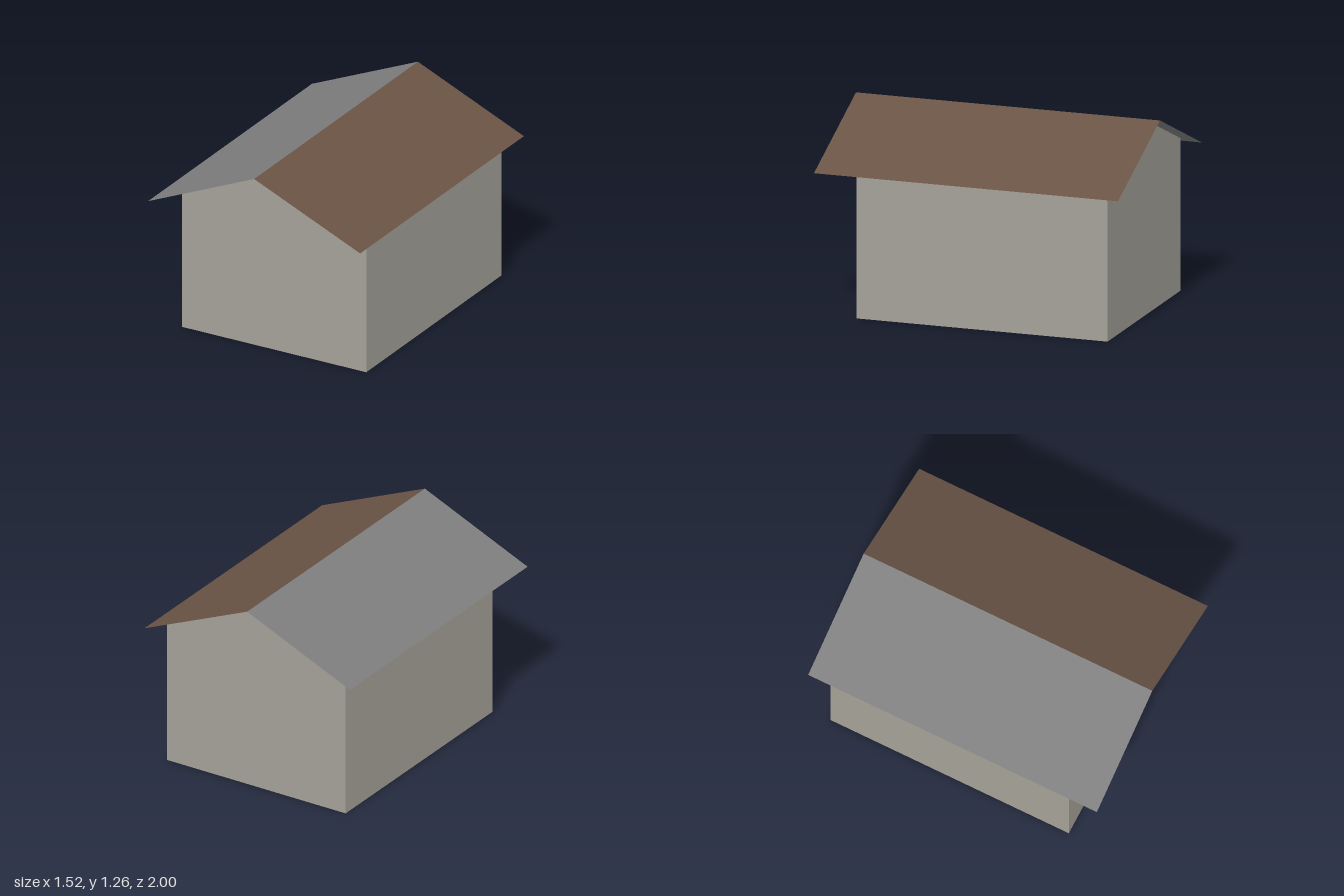
import * as THREE from 'three';

const HALF_W = 0.66, EAVE_X = 0.76, WALL_Y = 0.974, EAVE_Y = 0.931, RIDGE_Y = 1.26;
const BACK = -0.895, FRONT = 0.755, ROOF_Z = 1;

function material(name, color) {
  const m = new THREE.MeshStandardMaterial({ color, side: THREE.DoubleSide });
  m.name = name;
  return m;
}

// Flat quad from four corners, counter-clockwise seen from outside
function quad(name, corners, mat) {
  const g = new THREE.BufferGeometry();
  g.setAttribute('position', new THREE.Float32BufferAttribute(corners.flat(), 3));
  g.setIndex([0, 1, 2, 0, 2, 3]);
  g.computeVertexNormals();
  const mesh = new THREE.Mesh(g, mat);
  mesh.name = name;
  return mesh;
}

export function createModel() {
  const group = new THREE.Group();
  group.name = 'house';
  const plaster = material('warm grey plaster', 0xa4a198);
  const brown = material('brown roofing', 0x6a5445);
  const grey = material('grey roofing', 0x7e7e7e);

  // Gable walls
  const gable = new THREE.ShapeGeometry(new THREE.Shape([
    [-HALF_W, 0], [HALF_W, 0], [HALF_W, WALL_Y], [0, RIDGE_Y], [-HALF_W, WALL_Y],
  ].map(([x, y]) => new THREE.Vector2(x, y))));
  const frontWall = new THREE.Mesh(gable, plaster);
  frontWall.name = 'frontGableWall';
  frontWall.position.z = FRONT;
  const backWall = new THREE.Mesh(gable, plaster);
  backWall.name = 'backGableWall';
  backWall.position.z = BACK;
  backWall.rotation.y = Math.PI;
  group.add(frontWall, backWall);

  // Side walls and roof slopes; the house is open underneath
  for (const [side, s, roofing] of [['left', 1, brown], ['right', -1, grey]]) {
    const [z0, z1] = s > 0 ? [FRONT, BACK] : [BACK, FRONT];
    const x = s * HALF_W, e = s * EAVE_X, r = s * ROOF_Z;
    group.add(
      quad(side + 'Wall', [[x, 0, z0], [x, 0, z1], [x, WALL_Y, z1], [x, WALL_Y, z0]], plaster),
      quad(side + 'RoofSlope', [[e, EAVE_Y, r], [e, EAVE_Y, -r], [0, RIDGE_Y, -r], [0, RIDGE_Y, r]], roofing),
    );
  }
  return group;
}
